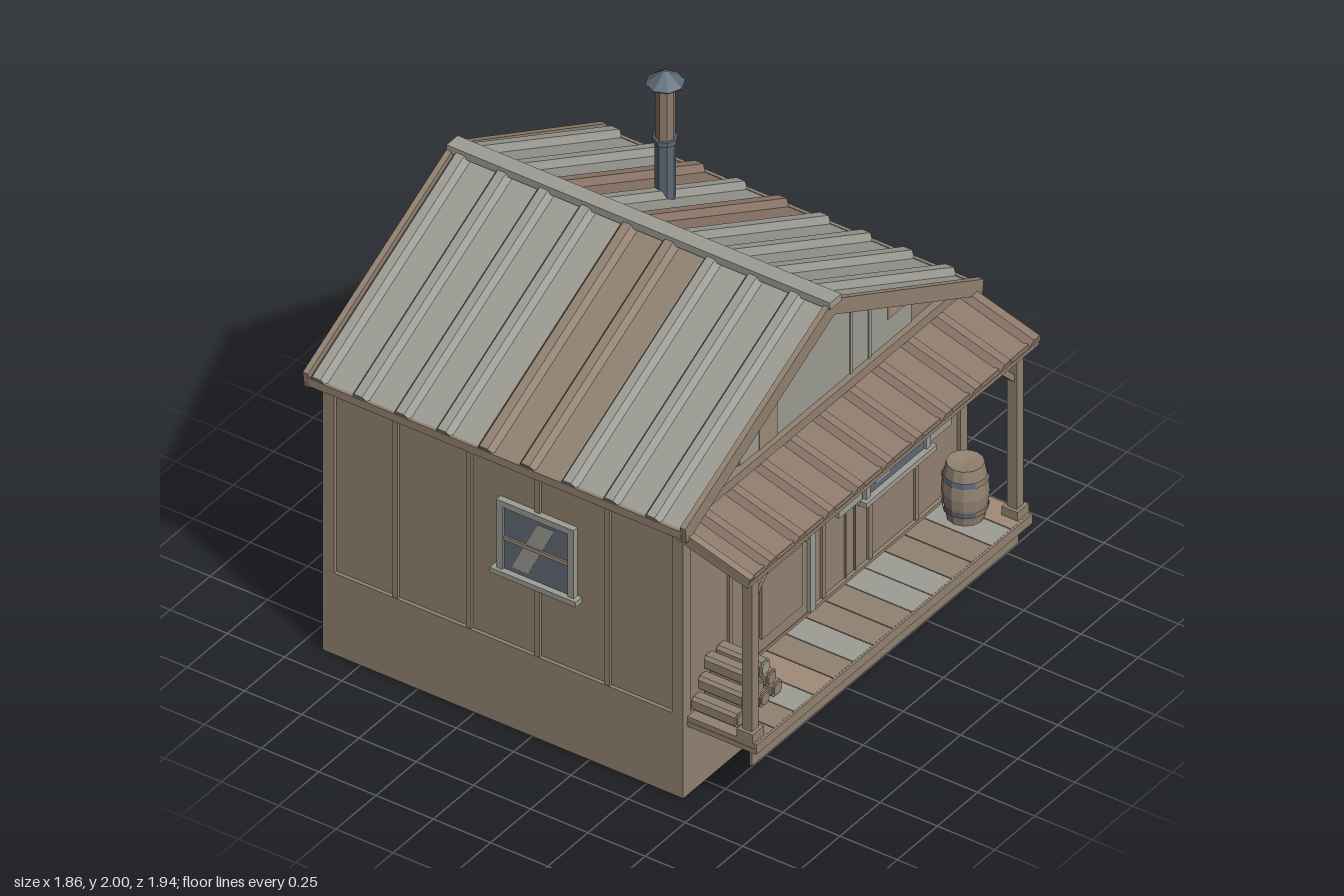
import * as THREE from 'three';

const mat = (name, color, side = THREE.FrontSide) => {
  const m = new THREE.MeshStandardMaterial({ color, side });
  m.name = name;
  return m;
};
const V = (x, y, z) => new THREE.Vector3(x, y, z);

export function createModel() {
  const root = new THREE.Group();
  const wood = mat('weathered wood', 0x928271, THREE.DoubleSide);
  const tan = mat('bare tan wood', 0xa08b77);
  const rust = mat('rusty metal', 0x8e796b, THREE.DoubleSide);
  const grey = mat('grey metal and paint', 0x9d9d95, THREE.DoubleSide);
  const glass = mat('dark glass', 0x626b76);
  const steel = mat('blue steel', 0x5a6874, THREE.DoubleSide);
  const dark = mat('dark floor', 0x7e7264, THREE.DoubleSide);
  for (const m of [wood, tan, rust, grey, glass, steel, dark]) m.flatShading = true;

  const add = (name, geo, m, parent = root) => {
    const mesh = new THREE.Mesh(geo, m);
    mesh.name = name;
    parent.add(mesh);
    return mesh;
  };
  // box given by its limits
  const box = (name, m, x0, x1, y0, y1, z0, z1, parent = root) => {
    const b = add(name, new THREE.BoxGeometry(x1 - x0, y1 - y0, z1 - z0), m, parent);
    b.position.set((x0 + x1) / 2, (y0 + y1) / 2, (z0 + z1) / 2);
    return b;
  };
  const prism = (pts, depth) => new THREE.ExtrudeGeometry(
    new THREE.Shape(pts.map(p => new THREE.Vector2(p[0], p[1]))), { depth, bevelEnabled: false });
  const cyl = (name, m, rt, rb, y0, y1, x, z, n = 8) => {
    const c = add(name, new THREE.CylinderGeometry(rt, rb, y1 - y0, n), m);
    c.position.set(x, (y0 + y1) / 2, z);
    return c;
  };

  // open-bottomed foundation and floor
  box('foundationFront', wood, -0.885, 0.885, 0, 0.355, 0.65, 0.66);
  box('foundationBack', wood, -0.885, 0.885, 0, 0.355, -0.915, -0.905);
  for (const s of [-1, 1]) {
    const x = s * 0.88;
    box('foundationSide', wood, x - 0.005, x + 0.005, 0, 0.355, -0.905, 0.65);
  }
  box('floor', dark, -0.875, 0.875, 0.335, 0.345, -0.905, 0.65);
  box('sillLedge', wood, -0.885, 0.885, 0.346, 0.36, -0.915, 0.66);

  // walls with the gable in one pentagon
  const slope = 0.51, under = x => 1.635 - slope * Math.abs(x);
  const walls = add('walls', prism([[-0.87, 0.355], [0.87, 0.355], [0.87, under(0.87)], [0, 1.635], [-0.87, under(0.87)]], 1.545), wood);
  walls.position.z = -0.9;
  for (const s of [-1, 1]) {
    for (const z of [0.325, 0.02, -0.28, -0.6])
      box('sideBatten', wood, s * 0.875 - 0.007, s * 0.875 + 0.007, 0.36, 1.19, z - 0.011, z + 0.011);
    for (const z of [-0.89, 0.635])
      box('cornerBoard', wood, s * 0.863 - 0.022, s * 0.863 + 0.022, 0.36, 1.18, z - 0.025, z + 0.025);
  }
  for (const x of [-0.58, -0.29, 0, 0.29, 0.58]) {
    if (x !== -0.29) box('frontBatten', wood, x - 0.011, x + 0.011, 0.36, 1.2, 0.645, 0.655);
    box('backBatten', wood, x - 0.011, x + 0.011, 0.36, 1.2, -0.91, -0.9);
  }
  for (const x of [0.14, 0.2]) box('boardSeam', wood, x - 0.003, x + 0.003, 0.36, 1.2, 0.645, 0.652);

  // gable panels, clipped under the roof line
  const patch = (m, x0, x1, y0, y1, z) => {
    const xs = [x1, (x0 < 0 && x1 > 0) ? 0 : (x0 + x1) / 2, x0];
    const top = xs.map(x => [x, Math.min(y1, under(x) - 0.005)]);
    add('gablePanel', prism([[x0, y0], [x1, y0], ...top], 0.006), m).position.z = z;
  };
  patch(grey, -0.52, 0.55, 1.24, 2, 0.645);
  patch(tan, -0.52, -0.4, 1.34, 2, 0.648);
  patch(tan, -0.4, -0.29, 1.24, 2, 0.648);
  patch(tan, 0.4, 0.52, 1.35, 2, 0.648);
  patch(grey, -0.5, 0.58, 1.24, 2, -0.906);
  patch(tan, 0.17, 0.31, 1.24, 1.42, -0.909);
  patch(tan, -0.45, -0.32, 1.3, 2, -0.909);
  for (const x of [0.17, 0.285]) {
    patch(grey, x - 0.008, x + 0.008, 1.24, 2, 0.65);
    patch(grey, -x - 0.008, -x + 0.008, 1.24, 2, -0.913);
  }
  box('frontTieBeam', wood, -0.83, 0.83, 1.21, 1.25, 0.645, 0.675);
  box('backTieBeam', wood, -0.83, 0.83, 1.21, 1.25, -0.935, -0.9);

  // ribbed sheets: a profile of width w with one rib, swept down a slope
  const sheet = (name, m, w, rib, len, origin, X, Y, Z, flip) => {
    const f = flip ? -1 : 1;
    const pts = [[0, -0.015], [w, -0.015], [w, 0], [rib + 0.036, 0], [rib + 0.018, 0.026],
      [rib - 0.018, 0.026], [rib - 0.036, 0], [0, 0]].map(([a, b]) => [a * f, b]);
    const geo = prism(pts, len);
    geo.applyMatrix4(new THREE.Matrix4().makeBasis(X, Y, Z).setPosition(origin));
    return add(name, geo, m);
  };
  const a = Math.atan(slope), c = Math.cos(a), s0 = Math.sin(a);
  const patches = { 1: { 2: rust, 4: rust }, '-1': { 4: wood, 5: wood } };
  for (const s of [1, -1]) {
    for (let k = 0; k < 9; k++)
      sheet('roofSheet', patches[s][k] || grey, 0.1825, 0.04, 0.92 / c, V(0, 1.675, -0.95 + k * 0.1825),
        V(0, 0, -s), V(s * s0, c, 0), V(s * c, -s0, 0), s === 1);
    // barge boards and eave boards
    for (const z of [0.677, -0.97]) {
      const barge = prism([[0, 1.7], [s * 0.93, 1.232], [s * 0.92, 1.165], [0, 1.63]], 0.023);
      add('bargeBoard', barge, wood).position.z = z;
    }
    box('eaveBoard', wood, s * 0.921 - 0.007, s * 0.921 + 0.007, 1.178, 1.212, -0.95, 0.68);
  }
  box('ridgeCap', grey, -0.035, 0.035, 1.672, 1.703, -0.97, 0.705);

  // porch roof
  const pa = Math.atan(0.3), pc = Math.cos(pa), ps = Math.sin(pa);
  for (let k = 0; k < 10; k++)
    sheet('porchRoofSheet', rust, k === 9 ? 0.172 : 0.1825, 0.135, 0.32 / pc,
      V(-0.905 + k * 0.1825, 1.192, 0.645), V(1, 0, 0), V(0, pc, ps), V(0, -ps, pc));
  for (const s of [-1, 1]) {
    const rake = prism([[0.65, 1.2], [0.965, 1.106], [0.955, 1.062], [0.65, 1.15]], 0.03);
    rake.rotateY(-Math.PI / 2);
    add('porchRake', rake, wood).position.x = s * 0.89 + 0.015;
  }
  box('porchFascia', wood, -0.905, 0.905, 1.065, 1.105, 0.94, 0.958);
  box('porchBeam', wood, -0.86, 0.86, 1.06, 1.095, 0.89, 0.93);

  // porch deck, edge board, skirt board and posts
  const w = 1.72 / 14;
  for (let k = 0; k < 14; k++) {
    const m = [2, 5, 8, 9, 12].includes(k) ? grey : k % 5 === 3 ? tan : wood;
    box('deckPlank', m, -0.86 + k * w + 0.002, -0.86 + (k + 1) * w - 0.002, 0.325, 0.347, 0.655, 0.953);
  }
  box('deckFrame', wood, -0.86, 0.86, 0.305, 0.326, 0.655, 0.953);
  box('deckEdge', wood, -0.86, 0.86, 0.305, 0.346, 0.953, 0.962);
  box('deckSkirt', wood, -0.83, 0.83, 0.22, 0.306, 0.91, 0.922);
  for (const s of [-1, 1]) {
    const x = s * 0.825;
    box('porchPost', wood, x - 0.021, x + 0.021, 0.347, 1.075, 0.89, 0.932);
    box('postFoot', wood, x - 0.035, x + 0.035, 0.347, 0.385, 0.876, 0.946);
    const brace = box('postBrace', wood, -0.012, 0.012, -0.085, 0.085, -0.012, 0.012);
    brace.position.set(s * 0.755, 1.01, 0.91);
    brace.rotation.z = s * Math.PI / 4;
  }

  // door
  const F = 0.645;
  box('door', wood, -0.445, -0.11, 0.36, 1.09, F, F + 0.012);
  for (const x of [-0.465, -0.09]) box('doorJamb', grey, x - 0.016, x + 0.016, 0.36, 1.12, F, F + 0.025);
  box('doorHeader', grey, -0.49, -0.07, 1.09, 1.13, F, F + 0.027);
  for (const [y0, y1] of [[0.42, 0.69], [0.76, 1.01]])
    box('doorPanel', wood, -0.405, -0.15, y0, y1, F + 0.012, F + 0.023);
  box('doorHandle', wood, -0.153, -0.132, 0.705, 0.735, F + 0.012, F + 0.035);

  // windows, built facing +z about the centre of the glass
  const makeWindow = (wd, ht, x, y, z, turn, header) => {
    const g = new THREE.Group();
    g.name = 'window';
    g.position.set(x, y, z);
    g.rotation.y = turn;
    const hw = wd / 2, hh = ht / 2, t = 0.026;
    box('glass', glass, -hw, hw, -hh, hh, 0.007, 0.015, g);
    for (const s of [-1, 1]) {
      const cx = s * (hw + t / 2);
      box('windowSide', grey, cx - t / 2, cx + t / 2, -hh, hh + t, 0, 0.026, g);
    }
    box('windowTop', grey, -hw, hw, hh, hh + t, 0, 0.026, g);
    box('windowSill', grey, -hw - 0.045, hw + 0.045, -hh - 0.022, -hh, 0, 0.04, g);
    if (header) box('windowHeader', grey, -hw - 0.045, hw + 0.045, hh + t, hh + t + 0.02, 0, 0.035, g);
    box('crossbar', tan, -hw, hw, -0.008, 0.008, 0.014, 0.022, g);
    const at = (u, v) => [u * hw, v * hh];
    const glare = prism([at(-0.75, -0.85), at(-0.25, -0.85), at(0.55, 0.85), at(0.05, 0.85)], 0.002);
    add('glassReflection', glare, grey, g).position.z = 0.015;
    root.add(g);
    return g;
  };
  const shutter = (g, x0, x1, y0, y1, panels) => {
    box('shutter', grey, x0, x1, y0, y1, 0, 0.016, g);
    for (const pts of panels) add('shutterPanel', prism(pts, 0.003), glass, g).position.z = 0.016;
  };
  const rect = (x0, x1, y0, y1) => [[x0, y0], [x1, y0], [x1, y1], [x0, y1]];
  const front = makeWindow(0.35, 0.34, 0.44, 0.825, F, 0, true);
  shutter(front, -0.355, -0.21, -0.165, 0.16,
    [[[-0.335, 0.015], [-0.27, 0.015], [-0.225, 0.07], [-0.225, 0.12], [-0.335, 0.12]]]);
  shutter(front, 0.205, 0.345, -0.165, 0.16, [rect(0.215, 0.335, 0.015, 0.12), rect(0.215, 0.335, -0.125, -0.025)]);
  makeWindow(0.285, 0.275, 0.87, 0.83, -0.29, Math.PI / 2);
  makeWindow(0.285, 0.275, -0.87, 0.83, 0.02, -Math.PI / 2);
  const back = makeWindow(0.3, 0.275, -0.265, 0.83, -0.9, Math.PI);
  shutter(back, -0.32, -0.18, -0.15, 0.16, []);
  shutter(back, 0.18, 0.32, -0.15, 0.16, []);

  // lantern on a wall bracket
  box('lanternBracket', steel, 0.007, 0.023, 0.955, 0.97, F, 0.71);
  cyl('lanternCap', steel, 0.008, 0.034, 0.935, 0.965, 0.015, 0.7, 6);
  cyl('lanternGlass', grey, 0.026, 0.018, 0.885, 0.935, 0.015, 0.7, 6);
  cyl('lanternBase', steel, 0.02, 0.02, 0.873, 0.885, 0.015, 0.7, 6);

  // barrel with hoops that are half rusted
  const profile = [[0, 0.347], [0.07, 0.347], [0.084, 0.42], [0.088, 0.465], [0.084, 0.51], [0.07, 0.585], [0, 0.575]];
  const barrel = add('barrel', new THREE.LatheGeometry(profile.map(p => new THREE.Vector2(...p)), 12), wood);
  barrel.position.set(0.715, 0, 0.77);
  for (const [y, rt, rb] of [[0.4, 0.087, 0.084], [0.53, 0.084, 0.087]])
    for (let q = 0; q < 4; q++) {
      const arc = new THREE.CylinderGeometry(rt, rb, 0.024, 3, 1, true, (q + 2 / 3) * Math.PI / 2, Math.PI / 2);
      add('barrelHoop', arc, q % 2 ? rust : steel).position.set(0.715, y, 0.77);
    }

  // stacked firewood with chamfered square ends
  const chamfered = (r, k) => [[-r, -k], [-k, -r], [k, -r], [r, -k], [r, k], [k, r], [-k, r], [-r, k]];
  [[-0.795, -0.72, -0.645, -0.567], [-0.757, -0.68, -0.604], [-0.72, -0.643]].forEach((row, j) => {
    row.forEach((x, i) => {
      const y = 0.378 + j * 0.068;
      add('log', prism(chamfered(0.03, 0.018), 0.19), wood).position.set(x, y, 0.655);
      add('logEnd', prism(chamfered(0.022, 0.013), 0.007), j === 2 && i ? grey : wood).position.set(x, y, 0.845);
    });
  });

  // stovepipe
  cyl('lowerPipe', steel, 0.039, 0.039, 1.42, 1.7, 0.45, -0.355);
  cyl('upperPipe', rust, 0.037, 0.037, 1.7, 1.95, 0.45, -0.355);
  cyl('pipeBand', steel, 0.047, 0.047, 1.69, 1.71, 0.45, -0.355);
  cyl('pipeCapRim', steel, 0.073, 0.068, 1.943, 1.95, 0.45, -0.355);
  cyl('pipeCap', steel, 0.006, 0.073, 1.95, 2, 0.45, -0.355);
  return root;
}
